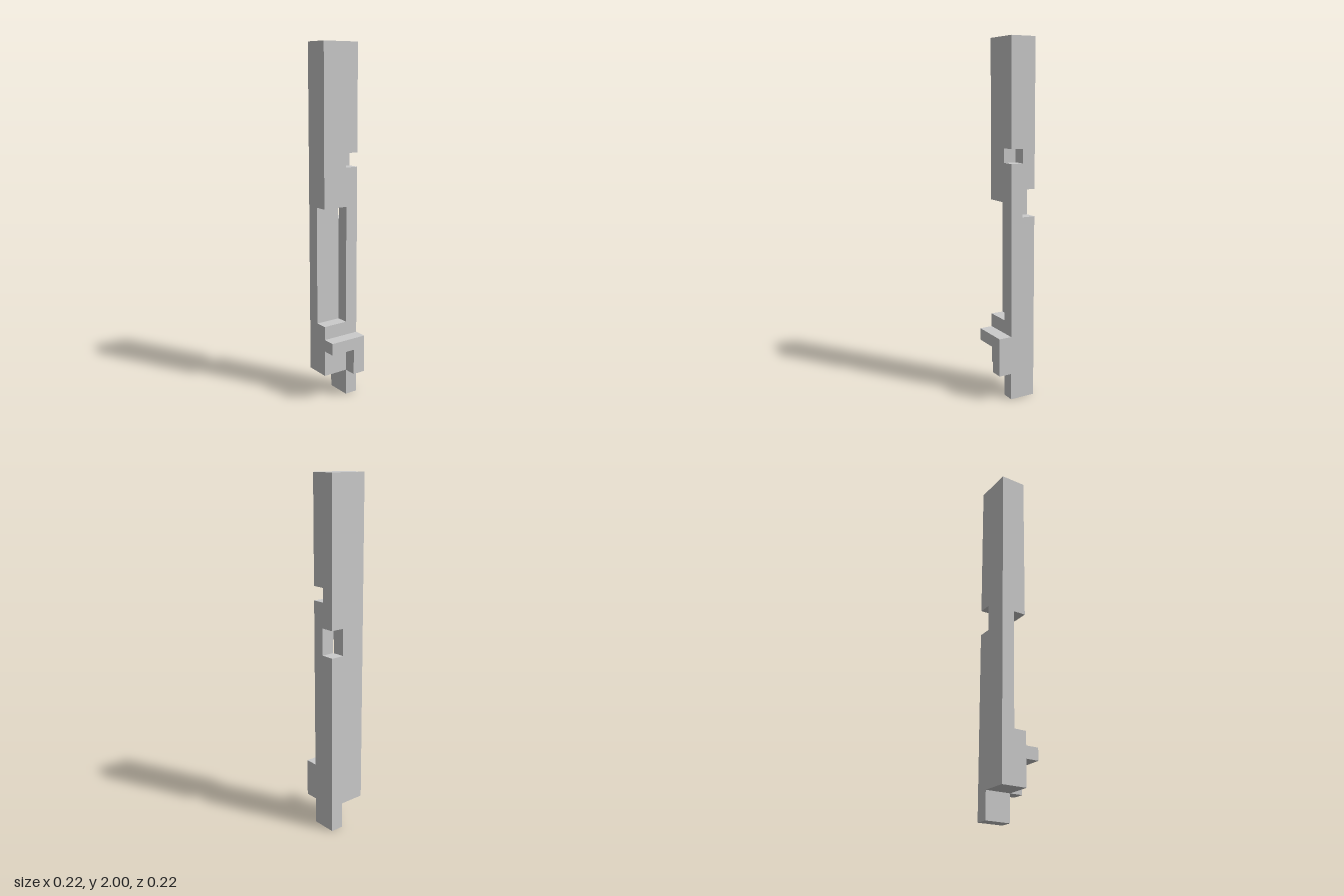
import * as THREE from 'three';

// Boxes as [x0, x1, y0, y1, z0, z1]
const W = 0.111, F = 0.036; // half width, front face of the bar
const solids = [
  [-W, W, 0, 2, -W, F],           // bar
  [-W, W, 0.151, 0.368, F, W],    // front ledge
];
const cuts = [
  [0.033, W, 1.332, 1.411, -0.037, F],   // front corner notch
  [0.033, W, 1.038, 1.19, -W, -0.033],   // back corner notch
  [-W, 0.037, 0.445, 1.115, -0.037, F],  // long front recess
  [-W, 0.037, 0.151, 0.299, F, W],       // step under the ledge
  [-W, 0.037, 0, 0.151, -W, F],          // space beside the foot
];

// Outer skin of the solids minus the cuts, with no faces inside
function carve(solids, cuts) {
  const planes = [0, 1, 2].map((a) => [...new Set([...solids, ...cuts]
    .flatMap((b) => [b[2 * a], b[2 * a + 1]]))].sort((p, q) => p - q));
  const filled = (cell) => {
    if (cell.some((c, a) => c < 0 || c >= planes[a].length - 1)) return false;
    const mid = cell.map((c, a) => (planes[a][c] + planes[a][c + 1]) / 2);
    const within = (b) => mid.every((m, a) => m > b[2 * a] && m < b[2 * a + 1]);
    return solids.some(within) && !cuts.some(within);
  };
  const positions = [];
  const addFace = (cell, axis, side) => {
    const u = (axis + 1) % 3, v = (axis + 2) % 3;
    const corner = (du, dv) => {
      const p = [0, 0, 0];
      p[axis] = planes[axis][cell[axis] + side];
      p[u] = planes[u][cell[u] + du];
      p[v] = planes[v][cell[v] + dv];
      return p;
    };
    const q = [corner(0, 0), corner(1, 0), corner(1, 1), corner(0, 1)];
    if (!side) q.reverse();
    for (const i of [0, 1, 2, 0, 2, 3]) positions.push(...q[i]);
  };
  for (let i = 0; i < planes[0].length - 1; i++)
    for (let j = 0; j < planes[1].length - 1; j++)
      for (let k = 0; k < planes[2].length - 1; k++) {
        const cell = [i, j, k];
        if (!filled(cell)) continue;
        for (let axis = 0; axis < 3; axis++)
          for (const side of [0, 1]) {
            const next = [...cell];
            next[axis] += side ? 1 : -1;
            if (!filled(next)) addFace(cell, axis, side);
          }
      }
  const geometry = new THREE.BufferGeometry();
  geometry.setAttribute('position', new THREE.Float32BufferAttribute(positions, 3));
  geometry.computeVertexNormals();
  return geometry;
}

export function createModel() {
  const group = new THREE.Group();
  group.name = 'notchedBar';
  const bar = new THREE.Mesh(
    carve(solids, cuts),
    new THREE.MeshStandardMaterial({ color: 0xcccccc, flatShading: true }),
  );
  bar.name = 'bar';
  group.add(bar);
  return group;
}
